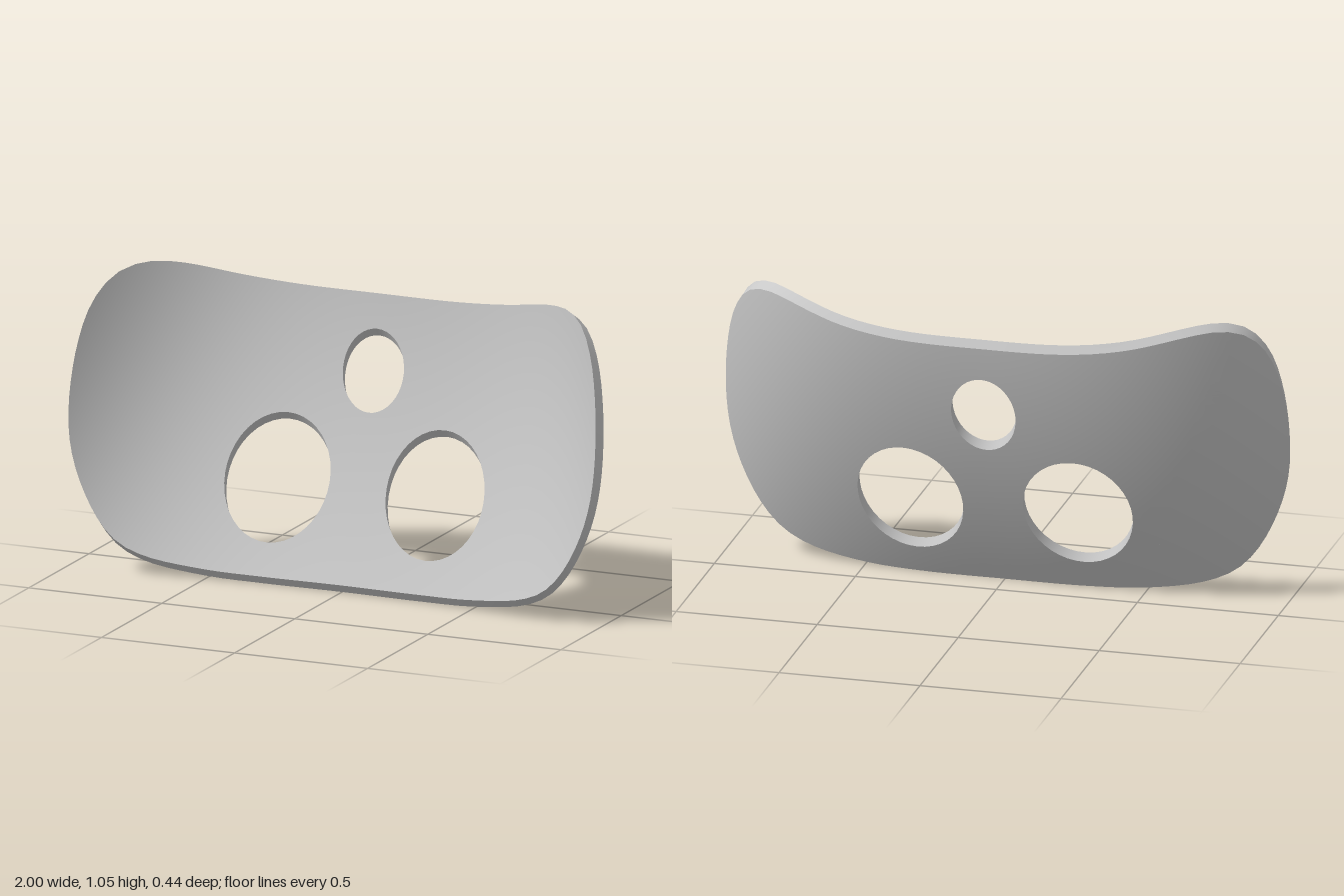
import * as THREE from 'three';

// Back surface: leaning, gently bowed profile whose ends sweep forward
const depth = (x, y) =>
  0.11 - 0.55 * y + 0.21 * y * y + 0.325 * Math.abs(x) ** 3 * (0.62 + 0.48 * y);

const backPoint = (x, y) => new THREE.Vector3(x, y, depth(x, y));

// Front surface: back surface shifted by the plate thickness
function frontPoint(x, y) {
  const a = Math.abs(x), w = a ** 3;
  return new THREE.Vector3(
    x - Math.sign(x) * 0.012 * w,
    y + 0.028 - 0.02 * a ** 6,
    depth(x, y) + 0.018 + 0.022 * w
  );
}

// Closed, mirrored outline, counter-clockwise from bottom centre
function outlinePoints() {
  const half = [
    [0.3, 0], [0.5, 0.008], [0.7, 0.04], [0.8, 0.085], [0.87, 0.155], [0.94, 0.28],
    [0.985, 0.42], [1, 0.57], [0.985, 0.77], [0.95, 0.905], [0.9, 0.985],
    [0.85, 1.018], [0.78, 1.03], [0.7, 1.02], [0.5, 0.978], [0.3, 0.957],
  ];
  const mirrored = half.map(([x, y]) => [-x, y]).reverse();
  const all = [[0, 0], ...half, [0, 0.953], ...mirrored];
  const curve = new THREE.CatmullRomCurve3(
    all.map(([x, y]) => new THREE.Vector3(x, y, 0)), true);
  return curve.getSpacedPoints(110).slice(0, -1).map(p => new THREE.Vector2(p.x, p.y));
}

// Clockwise ellipse for an opening
function holePoints(cx, cy, rx, ry, n = 40) {
  return Array.from({ length: n }, (_, i) => {
    const t = -i / n * Math.PI * 2;
    return new THREE.Vector2(cx + rx * Math.cos(t), cy + ry * Math.sin(t));
  });
}

// Split the longest edge until every edge is short enough to follow the curve
function subdivide(tri, limit, out) {
  let longest = 0, k = 0;
  for (let i = 0; i < 3; i++) {
    const d = tri[i].distanceTo(tri[(i + 1) % 3]);
    if (d > longest + 1e-9) { longest = d; k = i; }
  }
  if (longest <= limit) { out.push(tri); return; }
  const a = tri[k], b = tri[(k + 1) % 3], c = tri[(k + 2) % 3];
  const m = a.clone().add(b).multiplyScalar(0.5);
  subdivide([a, m, c], limit, out);
  subdivide([m, b, c], limit, out);
}

// Curved face with smooth normals taken from the surface itself
function faceGeometry(triangles, surface, flip) {
  const pos = [], nor = [], e = 0.002;
  for (const t of triangles) {
    for (const p of flip ? [t[0], t[2], t[1]] : t) {
      const du = surface(p.x + e, p.y).sub(surface(p.x - e, p.y));
      const dv = surface(p.x, p.y + e).sub(surface(p.x, p.y - e));
      const n = du.cross(dv).normalize().multiplyScalar(flip ? -1 : 1);
      pos.push(...surface(p.x, p.y).toArray());
      nor.push(...n.toArray());
    }
  }
  const g = new THREE.BufferGeometry();
  g.setAttribute('position', new THREE.Float32BufferAttribute(pos, 3));
  g.setAttribute('normal', new THREE.Float32BufferAttribute(nor, 3));
  return g;
}

// Wall joining back and front along a closed loop
function wallGeometry(loop) {
  const pos = [], index = [], n = loop.length;
  loop.forEach((p, i) => {
    pos.push(...backPoint(p.x, p.y).toArray(), ...frontPoint(p.x, p.y).toArray());
    const a = 2 * i, b = 2 * ((i + 1) % n);
    index.push(a, b, b + 1, a, b + 1, a + 1);
  });
  const g = new THREE.BufferGeometry();
  g.setAttribute('position', new THREE.Float32BufferAttribute(pos, 3));
  g.setIndex(index);
  g.computeVertexNormals();
  return g;
}

export function createModel() {
  const group = new THREE.Group();
  group.name = 'curvedPlate';
  const grey = new THREE.MeshStandardMaterial({ color: 0xc8c8c8 });
  grey.name = 'lightGrey';
  const add = (name, geometry) => {
    const mesh = new THREE.Mesh(geometry, grey);
    mesh.name = name;
    group.add(mesh);
  };

  const outline = outlinePoints();
  const holes = {
    leftOpening: holePoints(0.297, 0.317, 0.19, 0.21),
    rightOpening: holePoints(-0.297, 0.317, 0.19, 0.21),
    topOpening: holePoints(0, 0.693, 0.114, 0.14),
  };

  // Flat triangulation with the three openings, then refined
  const loops = Object.values(holes);
  const points = [outline, ...loops].flat();
  const triangles = [];
  for (const f of THREE.ShapeUtils.triangulateShape(outline, loops)) {
    const t = f.map(i => points[i]);
    const area = t[1].clone().sub(t[0]).cross(t[2].clone().sub(t[0]));
    subdivide(area < 0 ? [t[0], t[2], t[1]] : t, 0.07, triangles);
  }

  // Front and back faces
  add('frontFace', faceGeometry(triangles, frontPoint, false));
  add('backFace', faceGeometry(triangles, backPoint, true));

  // Outer rim and the walls of the openings
  add('outerRim', wallGeometry(outline));
  for (const [name, loop] of Object.entries(holes)) add(name + 'Wall', wallGeometry(loop));

  return group;
}
